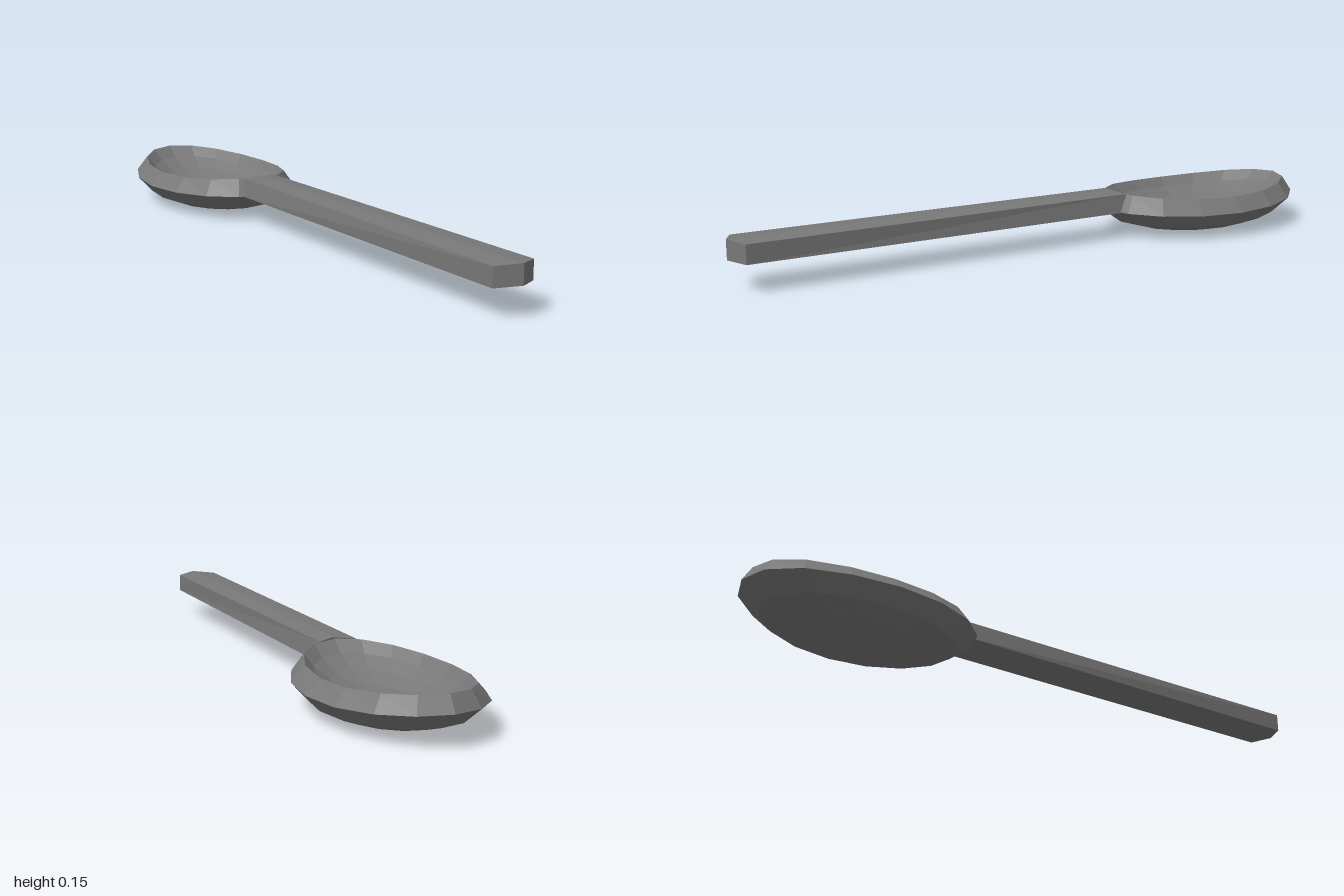
import * as THREE from 'three';

const material = new THREE.MeshStandardMaterial({ color: 0x787878, flatShading: true });

// Applies a rule to every vertex of a geometry
function reshape(geometry, rule) {
  const pos = geometry.attributes.position;
  const v = new THREE.Vector3();
  for (let i = 0; i < pos.count; i++) {
    v.fromBufferAttribute(pos, i);
    rule(v, i);
    pos.setXYZ(i, v.x, v.y, v.z);
  }
  geometry.computeVertexNormals();
  return geometry;
}

function part(name, geometry) {
  const mesh = new THREE.Mesh(geometry, material);
  mesh.name = name;
  return mesh;
}

// Oval bowl: underside, slanted rim and hollow, turned and then stretched along z
function createBowl() {
  const profile = [
    [0, 0], [0.085, 0.001], [0.145, 0.012], [0.2, 0.034], [0.242, 0.08],
    [0.2, 0.125], [0.175, 0.096], [0.135, 0.07], [0.075, 0.05], [0, 0.042],
  ].map(([r, y]) => new THREE.Vector2(r, y));
  const rim = 5;
  const geometry = new THREE.LatheGeometry(profile, 16);
  return reshape(geometry, (v, i) => {
    const inside = i % profile.length >= rim;
    // Both ends rise above the sides, the outer front edge least
    const rise = inside ? 0.5 : v.z > 0 ? 0.15 : 0.3;
    v.y += rise * v.z * v.z;
    v.z = -0.63 + v.z * (inside ? 1.71 : 1.53);
  });
}

// Long bar with a faint ridge and a blunt pointed end
function createHandle() {
  return reshape(new THREE.BoxGeometry(2, 2, 2, 2, 1, 1), (v) => {
    const middle = v.x === 0;
    const top = v.y > 0;
    const front = v.z > 0;
    const narrowing = top && !front ? 0.86 : 1;
    v.x = (v.x < 0 ? 0.073 : 0.063) * v.x * narrowing;
    v.y = top ? (middle ? 0.15 : 0.144) : (middle ? 0.09 : 0.086);
    v.z = front ? (middle ? 1 : 0.966) : (middle ? -0.285 : -0.305);
  });
}

export function createModel() {
  const group = new THREE.Group();
  group.name = 'spoon';
  group.add(part('bowl', createBowl()), part('handle', createHandle()));
  return group;
}
